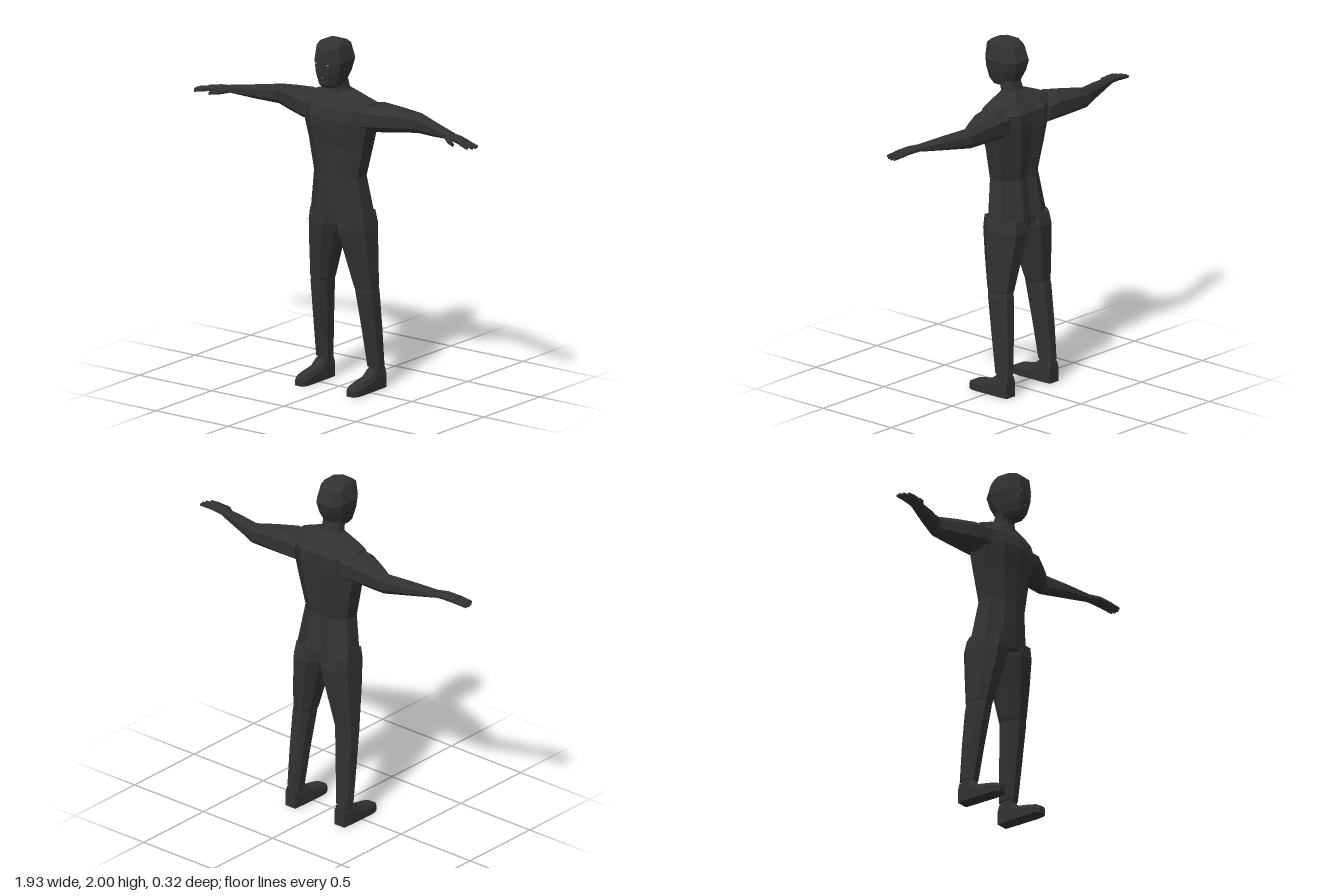
import * as THREE from 'three';

const body = new THREE.MeshStandardMaterial({ color: 0x323232 });
body.name = 'charcoal';
const pale = new THREE.MeshStandardMaterial({ color: 0x8c8c8c });
pale.name = 'pale grey';

// Joins equal-length rings of [x, y, z] points into a closed, flat-shaded mesh.
function loft(name, rings, side = 1) {
  const n = rings[0].length;
  const pts = rings.map(r => r.map(p => new THREE.Vector3(p[0] * side, p[1], p[2])));
  const tris = [];
  for (let i = 0; i + 1 < pts.length; i++) {
    for (let j = 0; j < n; j++) {
      const k = (j + 1) % n;
      const [a, b, c, d] = [pts[i][j], pts[i][k], pts[i + 1][k], pts[i + 1][j]];
      tris.push([a, b, c], [a, c, d]);
    }
  }
  const last = pts[pts.length - 1];
  for (let j = 1; j + 1 < n; j++) {
    tris.push([pts[0][0], pts[0][j + 1], pts[0][j]], [last[0], last[j], last[j + 1]]);
  }
  // Turn the faces outward, whichever way the rings run.
  const volume = tris.reduce((v, [a, b, c]) => v + a.dot(b.clone().cross(c)), 0);
  const flat = tris.flatMap(([a, b, c]) => (volume > 0 ? [a, b, c] : [a, c, b]));
  const geo = new THREE.BufferGeometry().setFromPoints(flat);
  geo.computeVertexNormals();
  const mesh = new THREE.Mesh(geo, body);
  mesh.name = name;
  return mesh;
}

// Eight-sided outline filling the box u0..u1 by v0..v1.
function octagon(u0, u1, v0, v1, k = 0.5) {
  const cu = (u0 + u1) / 2, cv = (v0 + v1) / 2, a = (u1 - u0) / 2, b = (v1 - v0) / 2;
  return [[a, k * b], [k * a, b], [-k * a, b], [-a, k * b], [-a, -k * b], [-k * a, -b], [k * a, -b], [a, -k * b]]
    .map(([u, v]) => [cu + u, cv + v]);
}
const level = (y, x0, x1, z0, z1, k) => octagon(x0, x1, z0, z1, k).map(([x, z]) => [x, y, z]);
const across = (x, y0, y1, z0, z1, k) => octagon(z0, z1, y0, y1, k).map(([z, y]) => [x, y, z]);

// Horizontal torso outline with a raised chest line and a grooved spine.
function torsoRing([y, w, front, back, groove]) {
  const mid = (front + back) / 2, d = (front - back) / 2;
  const half = [[0.55 * w, front - 0.012], [w, mid + 0.4 * d], [w, mid - 0.4 * d], [0.42 * w, back]];
  return [[0, front], ...half, [0, back + groove], ...half.reverse().map(([x, z]) => [-x, z])]
    .map(([x, z]) => [x, y, z]);
}

function addArm(group, side) {
  const arm = new THREE.Group();
  arm.name = side > 0 ? 'leftArm' : 'rightArm';
  arm.add(loft('armSleeve', [
    across(0.16, 1.49, 1.63, -0.13, 0.07),
    across(0.25, 1.495, 1.643, -0.14, 0.055),
    across(0.37, 1.503, 1.63, -0.14, -0.002),
    across(0.48, 1.512, 1.615, -0.137, -0.06),
    across(0.62, 1.527, 1.597, -0.09, -0.012),
    across(0.77, 1.544, 1.58, -0.036, 0.022),
  ], side));
  arm.add(loft('palm', [
    across(0.76, 1.546, 1.578, -0.036, 0.026),
    across(0.82, 1.543, 1.577, -0.024, 0.05),
    across(0.89, 1.539, 1.565, -0.01, 0.068),
  ], side));
  // Finger base and tip as [x, z].
  const fingers = [
    [[0.88, 0.0], [0.962, 0.012]], [[0.88, 0.02], [0.966, 0.031]],
    [[0.88, 0.039], [0.96, 0.053]], [[0.88, 0.057], [0.942, 0.076]],
  ];
  fingers.forEach(([[x0, z0], [x1, z1]], i) => arm.add(loft('finger' + (i + 1), [
    across(x0, 1.541, 1.562, z0 - 0.009, z0 + 0.009),
    across(x1, 1.531, 1.546, z1 - 0.006, z1 + 0.006),
  ], side)));
  arm.add(loft('thumb', [
    across(0.75, 1.545, 1.57, 0.0, 0.03),
    across(0.795, 1.536, 1.564, 0.035, 0.064),
    across(0.842, 1.532, 1.55, 0.066, 0.084),
  ], side));
  group.add(arm);
}

function addLeg(group, side) {
  const leg = new THREE.Group();
  leg.name = side > 0 ? 'leftLeg' : 'rightLeg';
  leg.add(loft('thigh', [
    level(1.0, 0.0, 0.182, -0.145, 0.085),
    level(0.93, 0.003, 0.192, -0.157, 0.088),
    level(0.78, 0.044, 0.2, -0.14, 0.062),
    level(0.6, 0.088, 0.21, -0.118, 0.026),
    level(0.58, 0.096, 0.205, -0.112, 0.018),
  ], side));
  leg.add(loft('shin', [
    level(0.6, 0.094, 0.206, -0.115, 0.022),
    level(0.56, 0.097, 0.212, -0.12, 0.019),
    level(0.35, 0.118, 0.216, -0.135, -0.014),
    level(0.13, 0.135, 0.218, -0.146, -0.048),
  ], side));
  leg.add(loft('ankle', [
    level(0.14, 0.142, 0.211, -0.14, -0.054),
    level(0.06, 0.142, 0.211, -0.14, -0.054),
  ], side));
  // Shoe cross-sections as z, half-width, height.
  const shoe = [[-0.145, 0.036, 0.12], [-0.055, 0.04, 0.115], [-0.01, 0.04, 0.08],
    [0.07, 0.042, 0.064], [0.112, 0.038, 0.055], [0.138, 0.024, 0.042]];
  leg.add(loft('shoe', shoe.map(([z, w, h]) =>
    [[-w, 0], [w, 0], [w, 0.65 * h], [0.65 * w, h], [-0.65 * w, h], [-w, 0.65 * h]]
      .map(([x, y]) => [0.178 + x, y, z])), side));
  group.add(leg);
}

export function createModel() {
  const model = new THREE.Group();
  model.name = 'figure';

  // Torso: y, half-width, front z, back z, spine groove.
  model.add(loft('torso', [
    [0.945, 0.17, 0.086, -0.15, 0.025], [1.0, 0.182, 0.092, -0.15, 0.02],
    [1.22, 0.15, 0.096, -0.112, 0.012], [1.4, 0.188, 0.102, -0.135, 0.012],
    [1.5, 0.21, 0.117, -0.147, 0.012], [1.545, 0.222, 0.12, -0.15, 0.012],
    [1.61, 0.24, 0.105, -0.146, 0.01], [1.65, 0.22, 0.08, -0.11, 0.008],
    [1.705, 0.075, 0.055, -0.055, 0.004],
  ].map(torsoRing)));

  model.add(loft('neck', [
    level(1.67, -0.08, 0.08, -0.075, 0.06),
    level(1.715, -0.062, 0.062, -0.04, 0.056),
    level(1.78, -0.055, 0.055, -0.025, 0.07),
  ]));

  model.add(loft('head', [
    level(1.732, -0.045, 0.045, 0.005, 0.125),
    level(1.752, -0.058, 0.058, -0.025, 0.145),
    level(1.82, -0.078, 0.078, -0.058, 0.157, 0.55),
    level(1.88, -0.09, 0.09, -0.074, 0.158, 0.55),
    level(1.96, -0.076, 0.076, -0.05, 0.152, 0.55),
    level(1.984, -0.065, 0.065, -0.02, 0.125, 0.5),
    level(2.0, -0.03, 0.03, 0.025, 0.08, 0.5),
  ]));

  // Face details as tiny plates.
  const plate = (name, x, y, w, h) => {
    const mesh = new THREE.Mesh(new THREE.BoxGeometry(w, h, 0.006), pale);
    mesh.position.set(x, y, 0.157);
    mesh.name = name;
    model.add(mesh);
  };
  for (const side of [1, -1]) {
    plate(side > 0 ? 'leftEye' : 'rightEye', 0.04 * side, 1.872, 0.012, 0.007);
    addArm(model, side);
    addLeg(model, side);
  }
  plate('mouth', 0, 1.795, 0.012, 0.003);
  return model;
}
